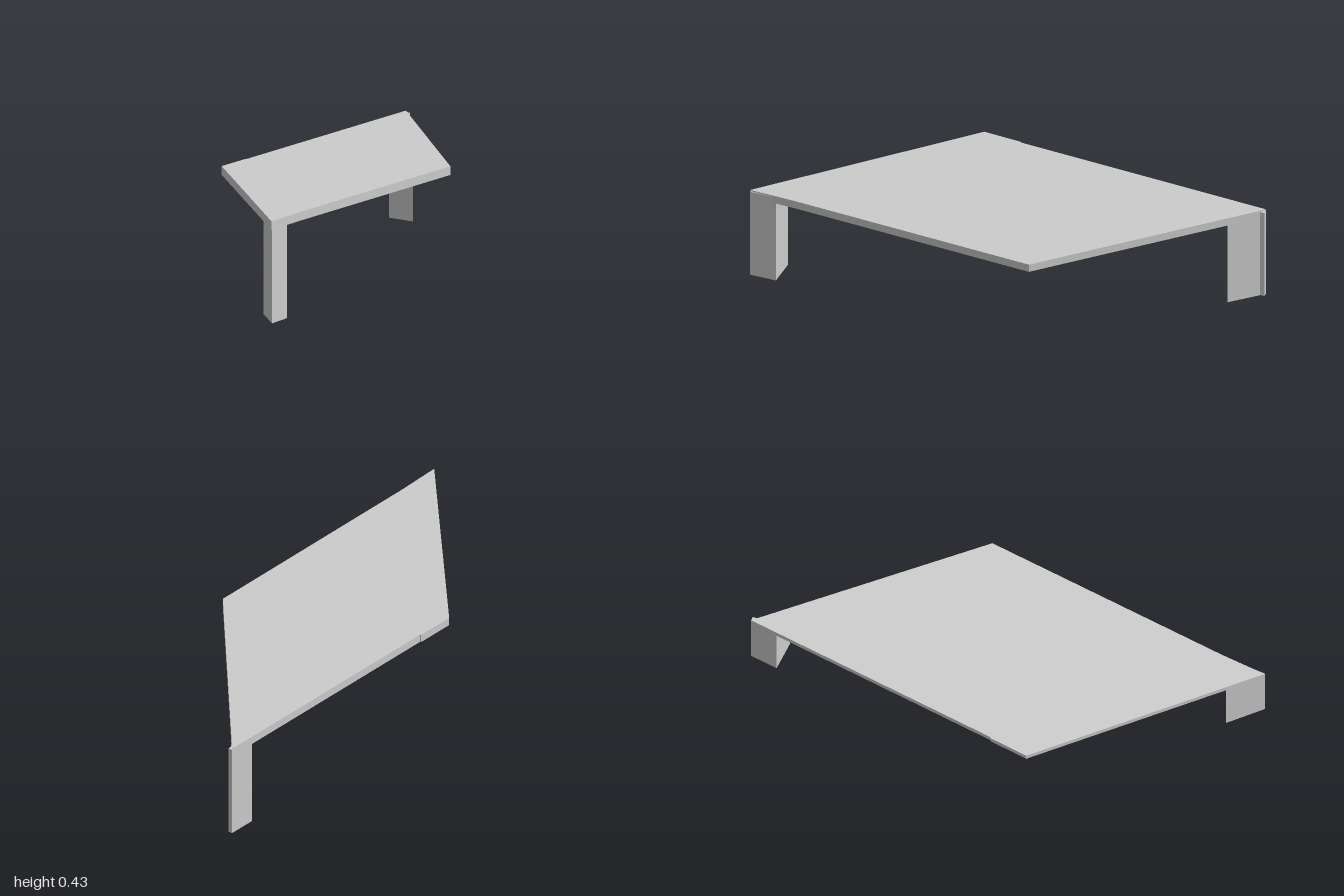
import * as THREE from 'three';

const material = new THREE.MeshStandardMaterial({ color: 0xcccccc, flatShading: true });

// Upright prism from a plan outline of [x, z] corners, between two heights
function prism(name, outline, bottom, top) {
  const shape = new THREE.Shape(outline.map(([x, z]) => new THREE.Vector2(x, -z)));
  const geometry = new THREE.ExtrudeGeometry(shape, { depth: top - bottom, bevelEnabled: false });
  geometry.rotateX(-Math.PI / 2).translate(0, bottom, 0);
  const mesh = new THREE.Mesh(geometry, material);
  mesh.name = name;
  return mesh;
}

export function createModel() {
  const model = new THREE.Group();
  model.name = 'slantedTable';

  // Thin parallelogram slab with a small kink in the back edge
  model.add(prism('tableTop', [
    [-1, 0.385], [-0.8, 0.379], [0.267, 0.379], [0.985, -0.367],
    [0.997, -0.382], [-0.12, -0.384], [-0.12, -0.388], [-0.288, -0.389],
  ], 0.396, 0.433));

  // Three-sided leg under the front corner, just proud of the slab
  model.add(prism('frontLeg', [
    [-1, 0.389], [-0.885, 0.381], [-0.885, 0.26],
  ], 0, 0.427));

  // Leg under the back corner, with its tip cut square
  model.add(prism('backLeg', [
    [0.88, -0.26], [0.981, -0.361], [1, -0.363], [1, -0.381], [0.88, -0.381],
  ], 0, 0.427));

  return model;
}
